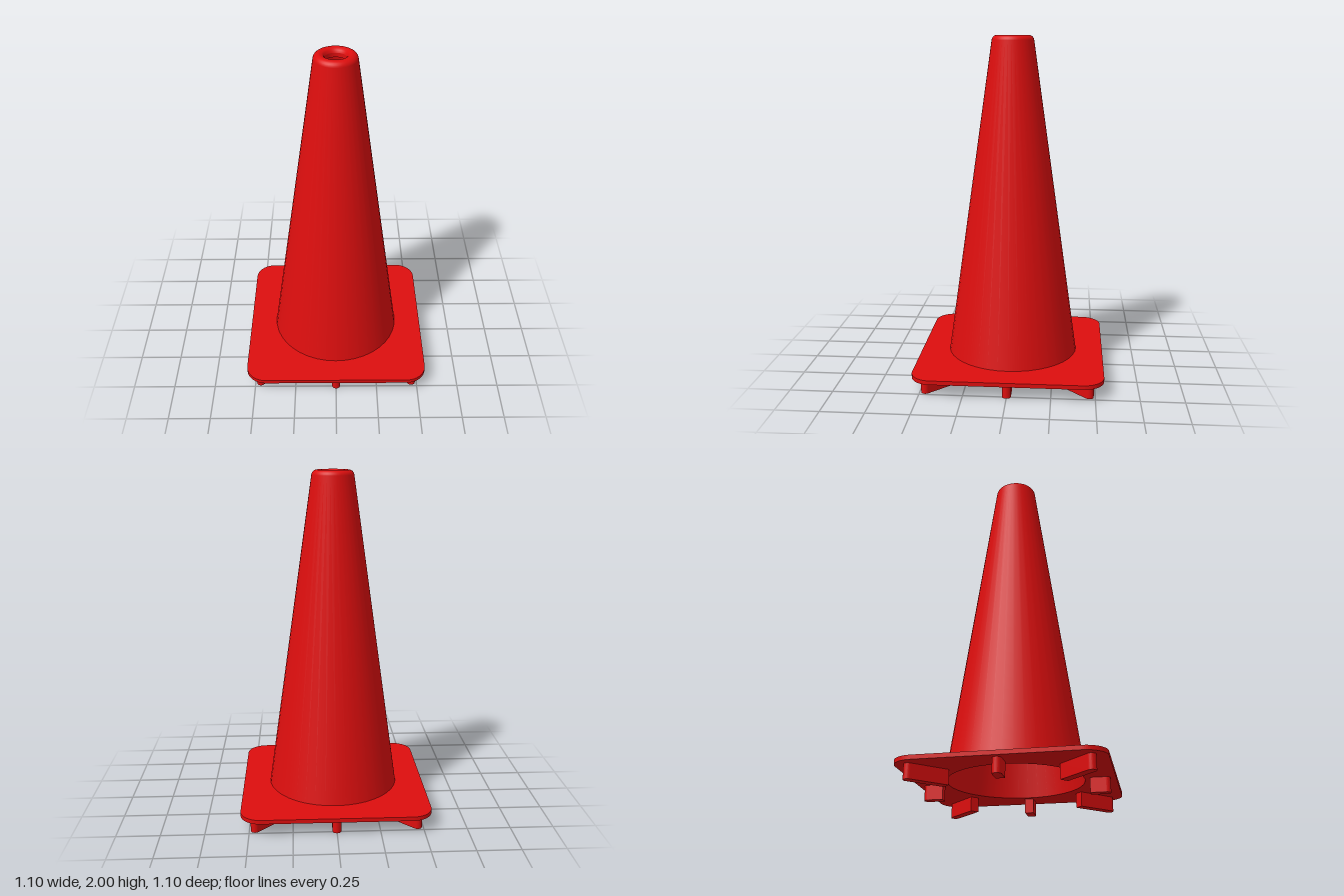
import * as THREE from 'three';

const SEGMENTS = 40;

// Spun shell from [radius, y] pairs; rising profiles face outward, falling ones inward.
function lathe(name, points, material) {
  const profile = points.map(([r, y]) => new THREE.Vector2(r, y));
  const mesh = new THREE.Mesh(new THREE.LatheGeometry(profile, SEGMENTS), material);
  mesh.name = name;
  return mesh;
}

// Flat shape raised from y0 to y1.
function slab(name, shape, y0, y1, material) {
  const geometry = new THREE.ExtrudeGeometry(shape, { depth: y1 - y0, bevelEnabled: false, curveSegments: 10 });
  geometry.rotateX(-Math.PI / 2);
  geometry.translate(0, y0, 0);
  const mesh = new THREE.Mesh(geometry, material);
  mesh.name = name;
  return mesh;
}

// Rounded square with a round opening.
function plateShape(half, radius, hole) {
  const s = new THREE.Shape();
  const c = half - radius;
  for (let i = 0; i < 4; i++) {
    const a = i * Math.PI / 2;
    const sx = i === 0 || i === 3 ? 1 : -1;
    const sy = i < 2 ? 1 : -1;
    s.absarc(sx * c, sy * c, radius, a, a + Math.PI / 2, false);
  }
  s.closePath();
  const opening = [];
  for (let i = 0; i < SEGMENTS; i++) {
    const a = -i / SEGMENTS * Math.PI * 2;
    opening.push(new THREE.Vector2(hole * Math.sin(a), hole * Math.cos(a)));
  }
  s.holes.push(new THREE.Path(opening));
  return s;
}

// Radial foot with a square inner end and a round outer end.
function footShape(inner, outer, r) {
  const s = new THREE.Shape();
  s.moveTo(inner, -r);
  s.lineTo(outer, -r);
  s.absarc(outer, 0, r, -Math.PI / 2, Math.PI / 2, false);
  s.lineTo(inner, r);
  s.closePath();
  return s;
}

export function createModel() {
  const group = new THREE.Group();
  group.name = 'trafficCone';
  const red = new THREE.MeshStandardMaterial({ color: 0xdd0e0e });
  red.name = 'red';

  // Base plate
  group.add(slab('basePlate', plateShape(0.55, 0.12, 0.38), 0.082, 0.106, red));

  // Outer wall, rounded over at the top
  const rim = [];
  for (let i = 0; i <= 6; i++) {
    const a = (0.09 + 0.91 * i / 6) * Math.PI / 2;
    rim.push([0.09 + 0.033 * Math.cos(a), 1.967 + 0.033 * Math.sin(a)]);
  }
  group.add(lathe('coneBody', [[0.39, 0.1], ...rim], red));

  // Top lip, its bore and the hollow inside
  group.add(lathe('topLip', [[0.09, 2], [0.075, 1.997], [0.065, 1.989], [0.06, 1.975]], red));
  group.add(lathe('topBore', [[0.06, 1.975], [0.06, 1.95]], red));
  group.add(lathe('lipUnderside', [[0.06, 1.95], [0.105, 1.95]], red));
  group.add(lathe('coneInside', [[0.105, 1.95], [0.38, 0.082]], red));

  // Feet: short ones at the sides, long ones at the corners
  for (let i = 0; i < 8; i++) {
    const corner = i % 2 === 1;
    const shape = corner ? footShape(0.436, 0.66, 0.025) : footShape(0.41, 0.495, 0.025);
    const foot = slab(corner ? 'cornerFoot' : 'sideFoot', shape, 0, 0.084, red);
    foot.rotation.y = i * Math.PI / 4;
    group.add(foot);
  }
  return group;
}
